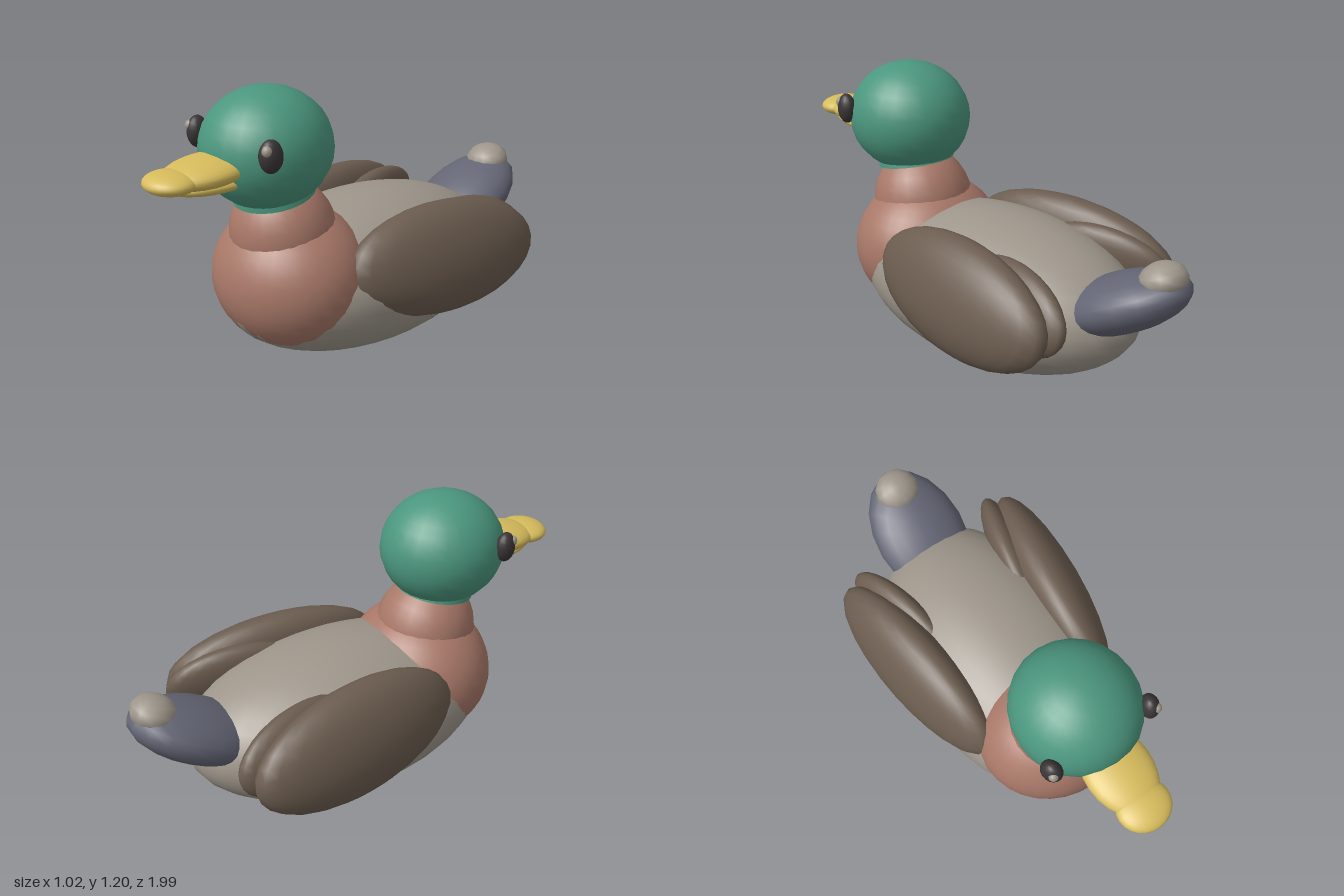
import * as THREE from 'three';

const mat = (name, color) => {
  const m = new THREE.MeshStandardMaterial({ color });
  m.name = name;
  return m;
};

export function createModel() {
  const model = new THREE.Group();
  model.name = 'duck';

  const green = mat('green', 0x4b967e);
  const rose = mat('rose', 0xa87868);
  const brown = mat('brown', 0x6b5c4f);
  const grey = mat('warm grey', 0x9e968b);
  const slate = mat('slate', 0x636574);
  const yellow = mat('yellow', 0xd6bb5c);
  const dark = mat('dark', 0x3a3536);

  const add = (name, geometry, material, pos, rot = [0, 0, 0]) => {
    const mesh = new THREE.Mesh(geometry, material);
    mesh.name = name;
    mesh.position.set(...pos);
    mesh.rotation.set(...rot);
    model.add(mesh);
    return mesh;
  };

  // Ellipsoid with radii given per axis
  const blob = (name, material, pos, radii, rot, segments = 24) =>
    add(name, new THREE.SphereGeometry(1, segments, Math.round(segments * 0.67)).scale(...radii), material, pos, rot);

  // Same ellipsoid on both sides of the body
  const pair = (name, material, [x, y, z], radii, [rx, ry, rz] = [0, 0, 0], segments) => {
    blob(name + 'Left', material, [x, y, z], radii, [rx, ry, rz], segments);
    blob(name + 'Right', material, [-x, y, z], radii, [rx, -ry, -rz], segments);
  };

  // Body, breast and neck
  blob('body', grey, [0, 0.325, -0.06], [0.42, 0.32, 0.7], undefined, 32);
  blob('breast', rose, [0, 0.4, 0.35], [0.342, 0.3, 0.31], undefined, 32);
  blob('neck', rose, [0, 0.59, 0.385], [0.22, 0.235, 0.215], [0.18, 0, 0]);
  add('collar', new THREE.CylinderGeometry(0.15, 0.166, 0.09, 24), green, [0, 0.805, 0.433], [0.19, 0, 0]);

  // Head
  blob('head', green, [0, 0.96, 0.458], [0.257, 0.24, 0.268]);
  pair('eye', dark, [0.222, 1.006, 0.617], [0.038, 0.064, 0.047], [0, -0.3, 0], 16);
  pair('eyeGlint', grey, [0.233, 1.032, 0.643], [0.02, 0.022, 0.02], undefined, 12);

  // Bill
  blob('upperBill', yellow, [0, 0.93, 0.74], [0.135, 0.055, 0.19], [0.05, 0, 0]);
  blob('lowerBill', yellow, [0, 0.882, 0.73], [0.108, 0.036, 0.19], [-0.05, 0, 0]);
  blob('billTip', yellow, [0, 0.922, 0.9], [0.11, 0.042, 0.1]);

  // Wings with a second layer of feathers at the inner rear
  pair('wing', brown, [0.36, 0.425, -0.185], [0.13, 0.235, 0.495], [-0.05, -0.13, 0.24]);
  pair('wingFeather', brown, [0.287, 0.44, -0.41], [0.078, 0.165, 0.305], [-0.08, -0.22, 0.22]);

  // Tail
  blob('tail', slate, [0, 0.452, -0.715], [0.206, 0.118, 0.31], [0.46, 0, 0], 18);
  blob('tailTip', grey, [0, 0.605, -0.89], [0.1, 0.07, 0.095], [0.3, 0, 0], 12);

  return model;
}
